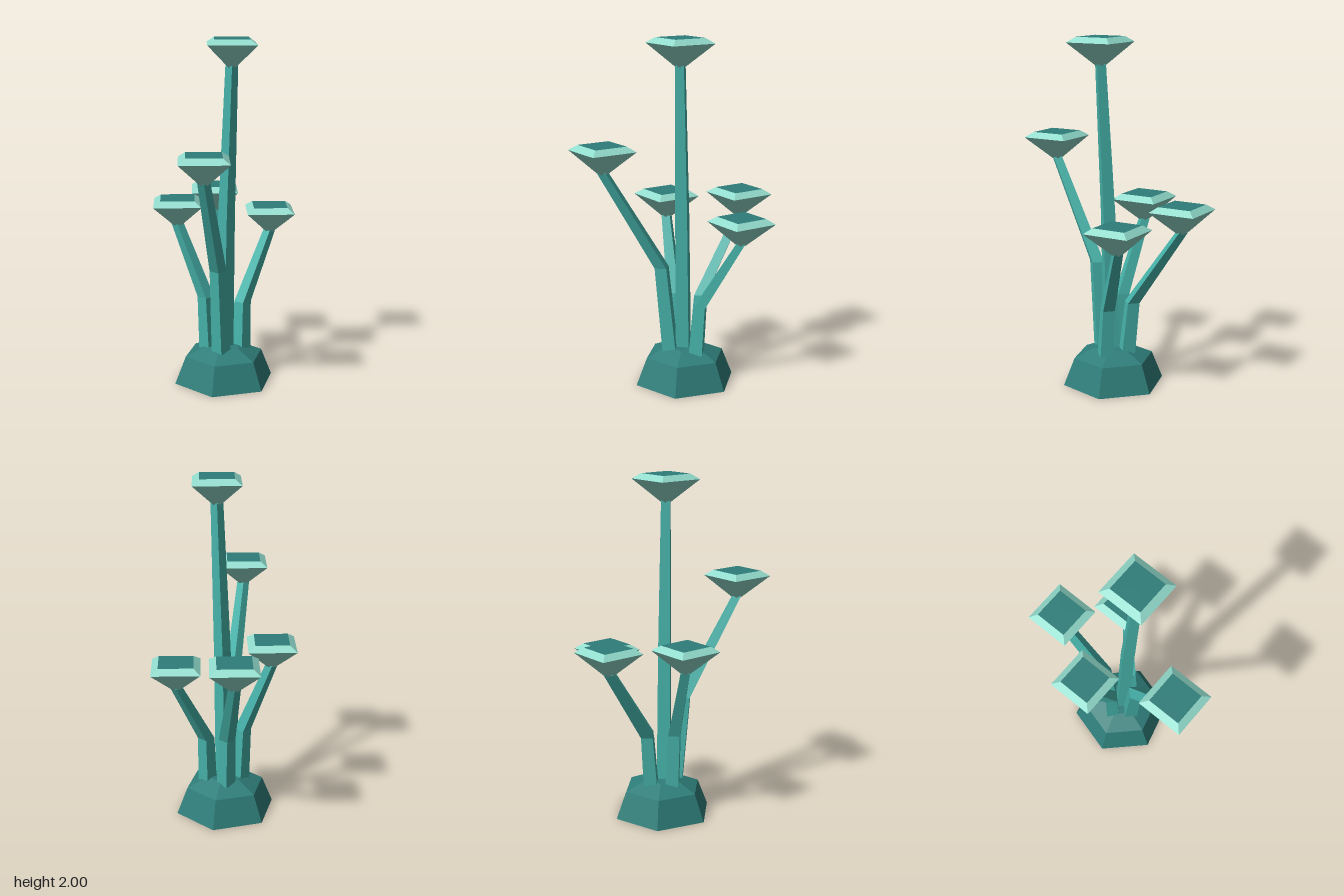
import * as THREE from 'three';

const material = (name, color) => {
  const m = new THREE.MeshStandardMaterial({ color, flatShading: true });
  m.name = name;
  return m;
};

// Skins a stack of regular rings { x, y, z, r }, closing the bottom and optionally the top.
function loft(rings, sides, turn, closeTop = true) {
  const pos = [];
  const corner = (g, i) => {
    const a = turn + (i / sides) * Math.PI * 2;
    return [g.x + g.r * Math.cos(a), g.y, g.z - g.r * Math.sin(a)];
  };
  for (let k = 0; k < rings.length - 1; k++) {
    for (let i = 0; i < sides; i++) {
      const a = corner(rings[k], i), b = corner(rings[k], i + 1);
      const c = corner(rings[k + 1], i + 1), d = corner(rings[k + 1], i);
      pos.push(...a, ...b, ...c, ...a, ...c, ...d);
    }
  }
  const first = rings[0], last = rings[rings.length - 1];
  for (let i = 0; i < sides; i++) {
    pos.push(first.x, first.y, first.z, ...corner(first, i + 1), ...corner(first, i));
    if (closeTop) pos.push(last.x, last.y, last.z, ...corner(last, i), ...corner(last, i + 1));
  }
  const geo = new THREE.BufferGeometry();
  geo.setAttribute('position', new THREE.Float32BufferAttribute(pos, 3));
  geo.computeVertexNormals();
  return geo;
}

export function createModel() {
  const group = new THREE.Group();
  const darkTeal = material('dark teal', 0x2e7d79);
  const teal = material('stem teal', 0x46b3aa);
  const mint = material('pale mint', 0x92dccd);

  const add = (parent, name, geo, mat) => {
    const mesh = new THREE.Mesh(geo, mat);
    mesh.name = name;
    parent.add(mesh);
    return mesh;
  };

  // Six-sided rock base
  const baseRings = [[0, 0.296], [0.16, 0.232], [0.215, 0.11]]
    .map(([y, r]) => ({ x: 0.042, y, z: -0.042, r }));
  add(group, 'base', loft(baseRings, 6, 0), darkTeal);

  // Stalks: foot, bend and tip points
  const stalks = [
    [[0.05, 0.15, -0.035], [0.07, 1.0, -0.032], [0.11, 1.85, -0.028]],
    [[0.09, 0.15, 0.03], [0.11, 0.70, 0.08], [0.282, 1.275, 0.372]],
    [[-0.02, 0.15, 0.02], [-0.03, 0.51, 0.035], [-0.182, 0.935, 0.11]],
    [[-0.02, 0.15, -0.10], [-0.05, 0.50, -0.12], [-0.283, 0.94, -0.305]],
    [[0.11, 0.15, -0.12], [0.10, 0.47, -0.14], [0.10, 0.86, -0.373]],
  ];
  const halfWidths = [0.039, 0.034, 0.025];

  stalks.forEach((points, n) => {
    const stalk = new THREE.Group();
    stalk.name = `stalk${n + 1}`;
    group.add(stalk);
    const rings = points.map(([x, y, z], i) => ({ x, y, z, r: halfWidths[i] * Math.SQRT2 }));
    add(stalk, 'stem', loft(rings, 4, Math.PI / 4), teal);

    // Diamond-shaped cup with a bevelled rim and a dark top face
    const [x, y, z] = points[2];
    const cup = [[-0.01, 0.026], [0.12, 0.193], [0.15, 0.138]]
      .map(([dy, r]) => ({ x, y: y + dy, z, r }));
    add(stalk, 'cup', loft(cup, 4, 0, false), mint);
    const top = add(stalk, 'cupTop', new THREE.CircleGeometry(0.138, 4), darkTeal);
    top.rotation.x = -Math.PI / 2;
    top.position.set(x, y + 0.15, z);
  });

  return group;
}
